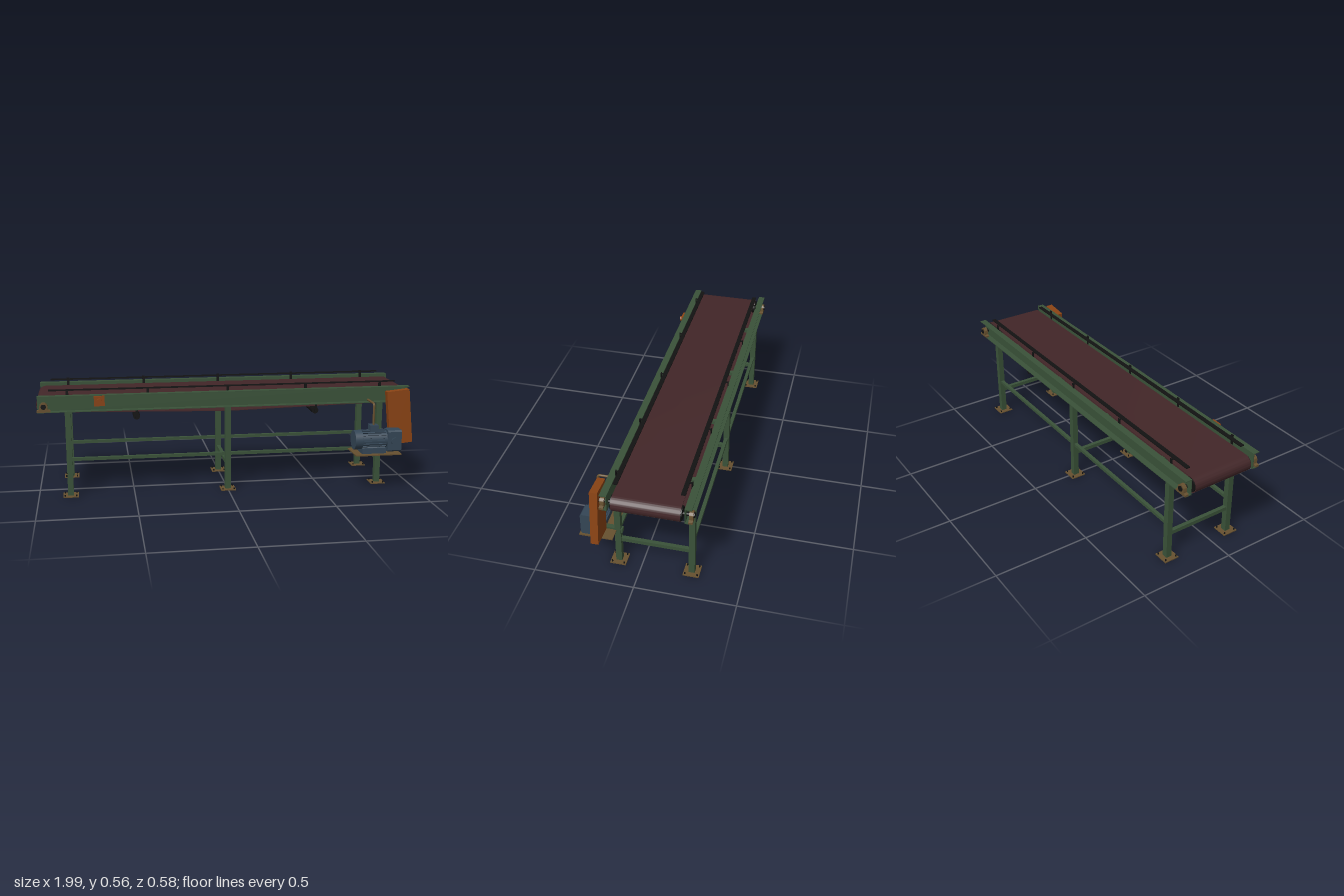
import * as THREE from 'three';
import { toCreasedNormals } from 'three/addons/utils/BufferGeometryUtils.js';

const paint = (name, color) => {
  const m = new THREE.MeshStandardMaterial({ color });
  m.name = name;
  return m;
};

export function createModel() {
  const green = paint('frame green', 0x3a5239);
  const maroon = paint('belt maroon', 0x422628);
  const orange = paint('guard orange', 0x8a4314);
  const blue = paint('motor blue', 0x344656);
  const tan = paint('zinc tan', 0x66502f);
  const black = paint('black steel', 0x121212);

  const model = new THREE.Group();
  model.name = 'beltConveyor';
  const MID = -0.066; // centre line of the belt in z

  const add = (name, geo, mat, x, y, z, parent = model) => {
    const mesh = new THREE.Mesh(geo, mat);
    mesh.name = name;
    mesh.position.set(x, y, z);
    parent.add(mesh);
    return mesh;
  };
  const box = (name, mat, w, h, d, x, y, z, parent) =>
    add(name, new THREE.BoxGeometry(w, h, d), mat, x, y, z, parent);
  const rod = (name, mat, r, len, axis, x, y, z, parent, sides = 24) => {
    const g = new THREE.CylinderGeometry(r, r, len, sides);
    if (axis === 'z') g.rotateX(Math.PI / 2);
    if (axis === 'x') g.rotateZ(Math.PI / 2);
    return add(name, g, mat, x, y, z, parent);
  };

  // Belt: a closed loop round both end rollers with a sagging return run
  const END = 0.955, AXLE = 0.487;
  const loop = (path, r, sag) => {
    path.moveTo(-END, AXLE + r);
    path.absarc(-END, AXLE, r, Math.PI / 2, Math.PI * 1.5, false);
    path.lineTo(0, sag);
    path.absarc(END, AXLE, r, -Math.PI / 2, Math.PI / 2, false);
    path.closePath();
    return path;
  };
  const beltShape = loop(new THREE.Shape(), 0.04, 0.424);
  beltShape.holes.push(loop(new THREE.Path(), 0.036, 0.428));
  const beltGeo = new THREE.ExtrudeGeometry(beltShape, { depth: 0.322, bevelEnabled: false, curveSegments: 20 });
  add('belt', toCreasedNormals(beltGeo, 0.6), maroon, 0, 0, MID - 0.161);

  // Rollers, shafts and return idlers
  for (const s of [-1, 1]) {
    rod('endRoller', black, 0.035, 0.332, 'z', s * END, AXLE, MID);
    rod('rollerShaft', black, 0.009, 0.44, 'z', s * END, AXLE, MID);
    rod('returnIdler', black, 0.018, 0.326, 'z', s * 0.48, 0.4125, MID);
    rod('idlerShaft', black, 0.005, 0.37, 'z', s * 0.48, 0.4125, MID);
    for (const e of [-1, 1]) // idler hangers
      box('idlerHanger', black, 0.012, 0.055, 0.004, s * 0.48, 0.432, MID + e * 0.181);
  }
  for (const x of [-0.7, -0.23, 0.23, 0.7])
    box('crossMember', green, 0.022, 0.018, 0.36, x, 0.468, MID);

  // Pillow block outline
  const block = new THREE.Shape();
  block.moveTo(-0.034, -0.029);
  block.lineTo(0.034, -0.029);
  block.lineTo(0.034, -0.019);
  block.lineTo(0.021, -0.015);
  block.absarc(0, 0, 0.021, 0, Math.PI, false);
  block.lineTo(-0.021, -0.015);
  block.lineTo(-0.034, -0.019);
  const blockGeo = toCreasedNormals(
    new THREE.ExtrudeGeometry(block, { depth: 0.02, bevelEnabled: false, curveSegments: 12 }), 0.6);

  // Each side: channel, guide strip, bearings, legs and rail
  for (const s of [1, -1]) {
    const side = new THREE.Group();
    side.name = s > 0 ? 'frontSide' : 'backSide';
    model.add(side);
    const at = (d) => MID + s * d;
    box('channelWeb', green, 1.975, 0.085, 0.004, 0, 0.4975, at(0.182), side);
    for (const y of [0.538, 0.457])
      box('channelFlange', green, 1.975, 0.004, 0.034, 0, y, at(0.197), side);

    box('guideStrip', black, 1.85, 0.005, 0.021, -0.005, 0.561, at(0.158), side);
    for (const x of [-0.835, -0.42, 0, 0.42, 0.83]) {
      box('guidePost', black, 0.014, 0.052, 0.004, x, 0.539, at(0.18), side);
      box('guideArm', black, 0.01, 0.003, 0.02, x, 0.561, at(0.172), side);
    }

    for (const e of [-1, 1]) {
      add('bearingBlock', blockGeo, tan, e * END, AXLE, at(0.207) - 0.01, side);
      rod('bearingCollar', black, 0.013, 0.006, 'z', e * END, AXLE, at(0.219), side);
    }

    for (const x of [-0.835, 0, 0.83]) {
      box('leg', green, 0.03, 0.45, 0.03, x, 0.229, at(0.183), side);
      box('basePlate', tan, 0.08, 0.005, 0.08, x, 0.0025, at(0.183), side);
      for (const i of [-1, 1])
        for (const k of [-1, 1])
          rod('anchorBolt', black, 0.004, 0.009, 'y', x + i * 0.03, 0.0085, at(0.183) + k * 0.03, side, 6);
    }
    box('longRail', green, 1.65, 0.016, 0.018, 0, 0.198, at(0.183), side);
  }
  for (const x of [-0.835, 0, 0.83])
    box('legBrace', green, 0.02, 0.02, 0.336, x, 0.142, MID);

  // Motor on its bracket
  const motor = new THREE.Group();
  motor.name = 'motor';
  model.add(motor);
  box('motorBracket', green, 0.024, 0.024, 0.127, 0.83, 0.2, 0.157, motor);
  box('motorPlate', tan, 0.25, 0.006, 0.166, 0.785, 0.2, 0.206, motor);
  const MY = 0.274, MZ = 0.226;
  rod('motorBody', blue, 0.047, 0.15, 'x', 0.77, MY, MZ, motor, 32);
  rod('fanCover', blue, 0.052, 0.04, 'x', 0.68, MY, MZ, motor, 32);
  for (let i = 0; i < 20; i++) {
    const fin = box('coolingFin', blue, 0.125, 0.008, 0.003, 0.765, MY, MZ, motor);
    const a = (i / 20) * Math.PI * 2;
    fin.position.y += Math.cos(a) * 0.049;
    fin.position.z += Math.sin(a) * 0.049;
    fin.rotation.x = a;
  }
  box('motorFoot', blue, 0.13, 0.03, 0.085, 0.765, 0.218, 0.222, motor);
  // Gearbox with clipped corners
  const gear = new THREE.Shape();
  const hw = 0.039, hh = 0.0575, c = 0.008;
  [[-hw + c, -hh], [hw - c, -hh], [hw, -hh + c], [hw, hh - c], [hw - c, hh], [-hw + c, hh], [-hw, hh - c], [-hw, -hh + c]]
    .forEach(([x, y], i) => (i ? gear.lineTo(x, y) : gear.moveTo(x, y)));
  const gearGeo = new THREE.ExtrudeGeometry(gear, { depth: 0.075, bevelEnabled: false }).rotateY(Math.PI / 2);
  add('gearbox', gearGeo, blue, 0.835, 0.271, 0.239, motor);
  rod('gearboxCap', blue, 0.02, 0.012, 'z', 0.873, 0.27, 0.279, motor);
  rod('outputShaft', black, 0.012, 0.04, 'z', 0.89, 0.27, 0.19, motor);
  box('terminalBox', blue, 0.045, 0.036, 0.045, 0.768, 0.335, 0.226, motor);

  // Cable conduit from the terminal box to the channel
  const conduit = new THREE.CurvePath();
  const v = (y, z) => new THREE.Vector3(0.768, y, z);
  conduit.add(new THREE.LineCurve3(v(0.35, 0.226), v(0.452, 0.226)));
  conduit.add(new THREE.QuadraticBezierCurve3(v(0.452, 0.226), v(0.466, 0.226), v(0.466, 0.212)));
  conduit.add(new THREE.LineCurve3(v(0.466, 0.212), v(0.466, 0.115)));
  add('conduit', new THREE.TubeGeometry(conduit, 40, 0.006, 10), tan, 0, 0, 0, motor);

  // Leaning chain guard
  const guard = box('chainGuard', orange, 0.124, 0.291, 0.038, 0.922, 0.382, 0.181);
  guard.rotation.z = 0.1;

  // Switch box on the front channel
  box('switchBox', orange, 0.055, 0.052, 0.038, -0.672, 0.511, 0.141);
  rod('switchButton', orange, 0.014, 0.014, 'z', -0.672, 0.511, 0.165);

  return model;
}
